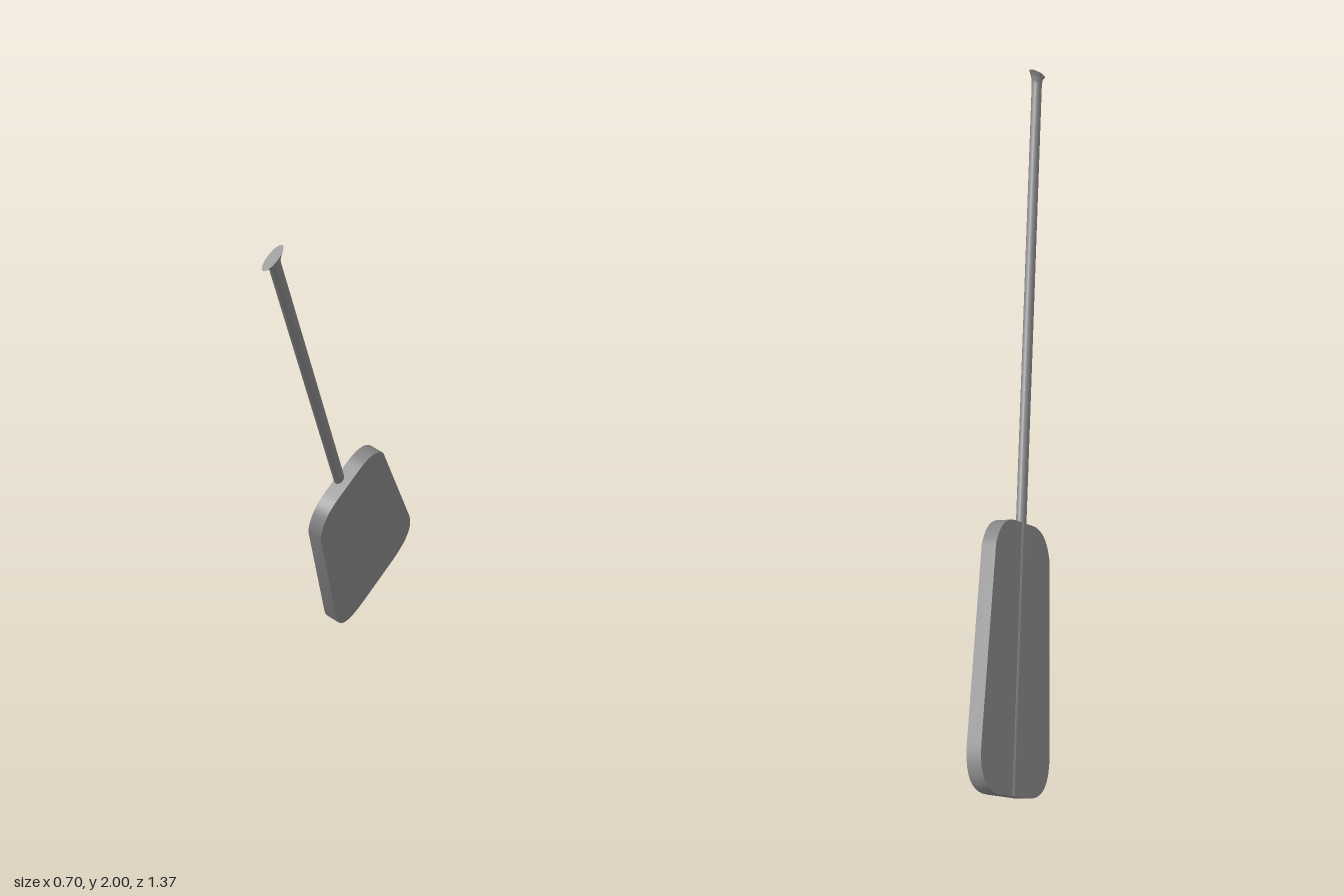
import * as THREE from 'three';
import { toCreasedNormals } from 'three/addons/utils/BufferGeometryUtils.js';

export function createModel() {
  const group = new THREE.Group();
  const grey = new THREE.MeshStandardMaterial({ color: 0x868686 });

  // Paddle frame: y runs up the shaft, x across the blade, z out of the ridged face
  const paddle = new THREE.Group();
  paddle.name = 'paddle';
  const along = new THREE.Vector3(0.287, 0.815, 0.504).normalize();
  const across = new THREE.Vector3(0, -along.z, along.y).normalize();
  const out = new THREE.Vector3().crossVectors(across, along);
  paddle.quaternion.setFromRotationMatrix(new THREE.Matrix4().makeBasis(across, along, out));
  paddle.position.set(-0.091, 0.78, -0.112);
  group.add(paddle);

  const add = (name, geometry) => {
    const mesh = new THREE.Mesh(toCreasedNormals(geometry, 0.6), grey);
    mesh.name = name;
    paddle.add(mesh);
  };

  const bladeTop = -0.008, bladeEnd = -0.857, top = 1.467, flare = 0.036;
  const halfWide = 0.0205, halfThick = 0.0155; // oval shaft section

  // Tapered blade with rounded corners
  const outline = new THREE.Shape();
  outline.moveTo(-0.06, bladeTop);
  outline.quadraticCurveTo(-0.15, bladeTop, -0.18, -0.1);
  outline.lineTo(-0.225, -0.71);
  outline.quadraticCurveTo(-0.235, bladeEnd, -0.09, bladeEnd);
  outline.lineTo(0.09, bladeEnd);
  outline.quadraticCurveTo(0.235, bladeEnd, 0.225, -0.71);
  outline.lineTo(0.18, -0.1);
  outline.quadraticCurveTo(0.15, bladeTop, 0.06, bladeTop);
  outline.closePath();
  const blade = new THREE.ExtrudeGeometry(outline, { depth: 0.05, bevelEnabled: false, curveSegments: 10 });
  blade.translate(0, 0, -0.039);
  add('blade', blade);

  // Oval shaft, running on through the blade as a low ridge
  const length = top - flare - bladeEnd;
  const shaft = new THREE.CylinderGeometry(1, 1, length, 16);
  shaft.scale(halfWide, 1, halfThick);
  shaft.translate(0, bladeEnd + length / 2, 0);
  add('shaft', shaft);

  // Grip: flares sideways from the shaft to a flat oval end
  const grip = new THREE.CylinderGeometry(1, 1, flare, 24, 4);
  const p = grip.attributes.position;
  for (let i = 0; i < p.count; i++) {
    const t = p.getY(i) / flare + 0.5;
    p.setX(i, p.getX(i) * (halfWide + 0.0265 * t * t));
    p.setZ(i, p.getZ(i) * halfThick);
  }
  grip.translate(0, top - flare / 2, 0);
  add('grip', grip);

  return group;
}
